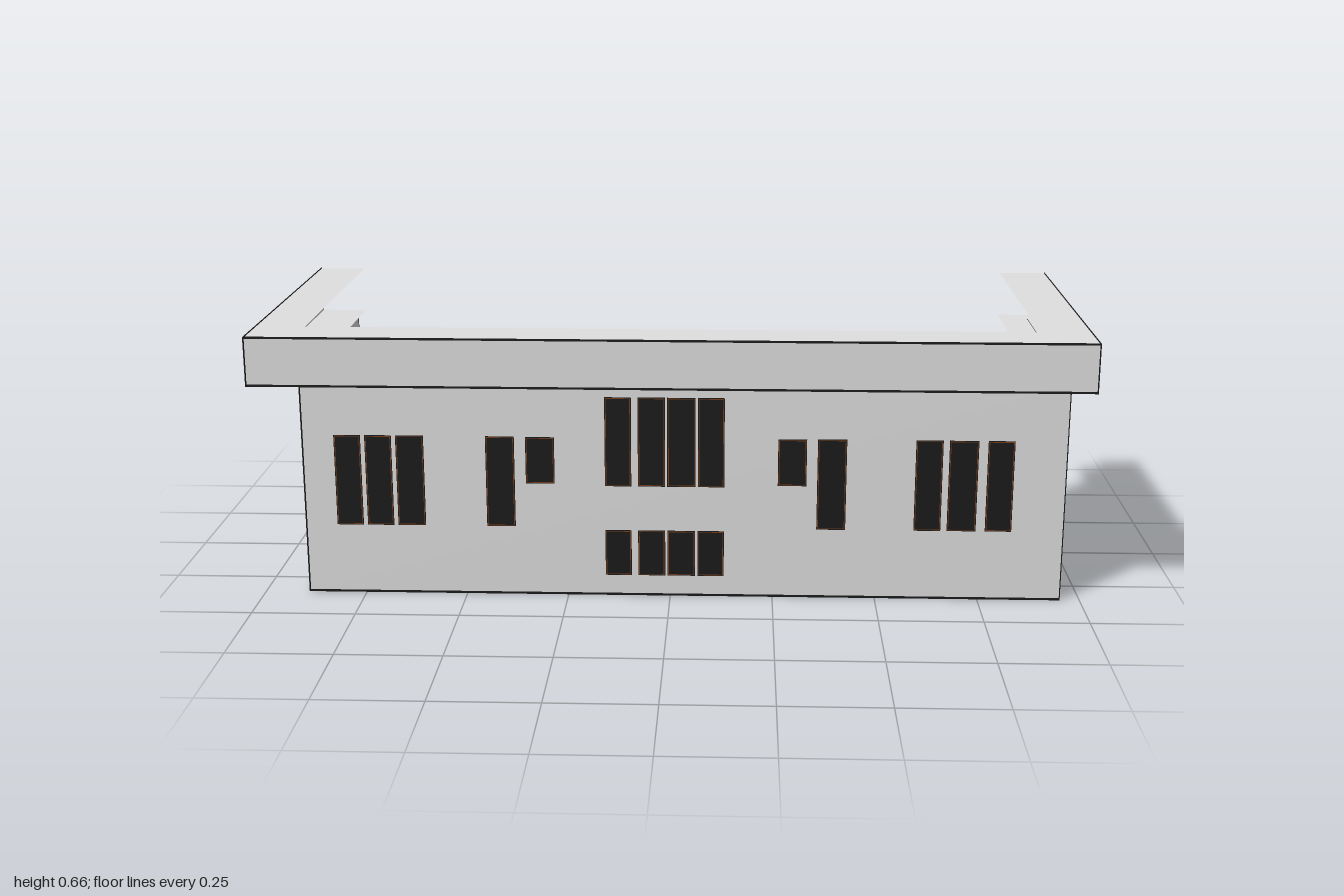
import * as THREE from 'three';

export function createModel() {
  const model = new THREE.Group();
  const plaster = new THREE.MeshStandardMaterial({ color: 0xdfdfdf, side: THREE.DoubleSide });
  plaster.name = 'light grey plaster';
  const dark = new THREE.MeshStandardMaterial({ color: 0x1a1a1a });
  dark.name = 'near black glass';
  const brown = new THREE.MeshStandardMaterial({ color: 0x7a3f16 });
  brown.name = 'brown frame';

  const add = (name, geometry, material, x, y, z, turn = 0) => {
    const mesh = new THREE.Mesh(geometry, material);
    mesh.name = name;
    mesh.position.set(x, y, z);
    mesh.rotation.y = turn;
    model.add(mesh);
  };
  // Box given by its lowest and highest corners
  const box = (name, x0, y0, z0, x1, y1, z1) =>
    add(name, new THREE.BoxGeometry(x1 - x0, y1 - y0, z1 - z0), dark,
      (x0 + x1) / 2, (y0 + y1) / 2, (z0 + z1) / 2);
  const sheet = (name, w, h, x, y, z, turn) =>
    add(name, new THREE.PlaneGeometry(w, h), plaster, x, y, z, turn);

  const XL = -0.89, XR = 0.95, ZF = 0.347, ZB = -0.375; // wall lines
  const EAVE = 0.543, TOP = 0.66;                        // roof band heights
  const RX = 0.998, RF = 0.424, RB = -0.428;             // roof band outline

  // Three walls, open at the back
  sheet('frontWall', XR - XL, EAVE, (XL + XR) / 2, EAVE / 2, ZF, 0);
  for (const [name, x, s] of [['rightWall', XL, -1], ['leftWall', XR, 1]])
    sheet(name, ZF - ZB, EAVE, x, EAVE / 2, (ZF + ZB) / 2, s * Math.PI / 2);

  // U-shaped roof plates above and below the fascia
  const outline = [[-RX, RB], [-RX, RF], [RX, RF], [RX, RB],
    [0.877, RB], [0.877, 0.305], [-0.88, 0.305], [-0.88, RB]];
  const u = new THREE.Shape(outline.map(([x, z]) => new THREE.Vector2(x, -z)));
  for (const [name, y] of [['roofTop', TOP], ['roofSoffit', EAVE]]) {
    const plate = new THREE.ShapeGeometry(u);
    plate.rotateX(-Math.PI / 2);
    add(name, plate, plaster, 0, y, 0);
  }

  // Fascia on the three outer sides
  const fh = TOP - EAVE, fy = (TOP + EAVE) / 2;
  sheet('frontFascia', 2 * RX, fh, 0, fy, RF, 0);
  for (const s of [-1, 1])
    sheet('sideFascia', RF - RB, fh, s * RX, fy, (RF + RB) / 2, s * Math.PI / 2);

  // Thin dark lines along the outer edges, broader on the sides
  const t = 0.002, w = 0.005, sw = 0.007;
  box('frontFasciaEdge', -RX, EAVE - t, RF, RX, EAVE + w - t, RF + t);
  box('frontFasciaEdge', -RX, TOP - w + t, RF, RX, TOP + t, RF + t);
  for (const x of [-RX - t, RX]) {
    for (const y of [EAVE - t, TOP - sw + t])
      box('sideFasciaEdge', x, y, RB, x + t, y + sw, RF);
    box('fasciaCorner', x, EAVE - t, RF - t, x + t, TOP + t, RF + 0.006);
    box('fasciaCorner', x, EAVE - t, RB - t, x + t, TOP + t, RB + 0.005);
  }
  for (const [x0, x1] of [[XL - 0.003, XL], [XR, XR + t]]) {
    for (const y of [0, EAVE - sw])
      box('sideWallEdge', x0, y, ZB, x1, y + sw, ZF);
    box('wallCorner', x0, 0, ZF - 0.004, x1, EAVE, ZF + 0.003);
    box('wallCorner', x0, 0, ZB - t, x1, EAVE, ZB + 0.004);
  }
  box('frontWallEdge', XL, 0, ZF + 0.001, XR, w, ZF + 0.003);

  // Window pane lying just off a wall, with a hairline frame inside its rim
  const window = (name, width, y0, y1, x, z, turn) => {
    const h = y1 - y0, y = (y0 + y1) / 2;
    const nx = Math.sin(turn), nz = Math.cos(turn);
    const place = (part, geometry, material, off) =>
      add(part, geometry, material, x + nx * off, y, z + nz * off, turn);
    place(name, new THREE.PlaneGeometry(width, h), dark, 0.002);
    const rect = (Type, inset) => {
      const a = width / 2 - inset, b = h / 2 - inset;
      return new Type([[-a, -b], [a, -b], [a, b], [-a, b]].map(p => new THREE.Vector2(...p)));
    };
    const rim = rect(THREE.Shape, 0.002);
    rim.holes.push(rect(THREE.Path, 0.0038));
    place(name + 'Frame', new THREE.ShapeGeometry(rim), brown, 0.0028);
  };

  // Front windows: x ranges grouped by sill and head height
  const centre = [[-0.158, -0.094], [-0.078, -0.012], [-0.007, 0.061], [0.067, 0.131]];
  const frontWindows = [
    [0.175, 0.403, [[-0.815, -0.75], [-0.74, -0.675], [-0.665, -0.597], [-0.447, -0.377],
      [0.355, 0.425], [0.59, 0.655], [0.67, 0.74], [0.762, 0.826]]],
    [0.285, 0.402, [[-0.35, -0.28], [0.26, 0.329]]],
    [0.28, 0.503, centre],
    [0.052, 0.168, centre],
  ];
  for (const [y0, y1, spans] of frontWindows)
    for (const [x0, x1] of spans)
      window('frontWindow', x1 - x0, y0, y1, (x0 + x1) / 2, ZF, 0);

  // Side windows: a row of four and a single one, on both side walls
  for (const [x, turn] of [[XL, -Math.PI / 2], [XR, Math.PI / 2]]) {
    for (let i = 0; i < 4; i++)
      window('sideWindow', 0.05, 0.18, 0.395, x, 0.242 - i * 0.0533, turn);
    window('sideWindow', 0.064, 0.175, 0.4, x, -0.177, turn);
  }
  return model;
}
